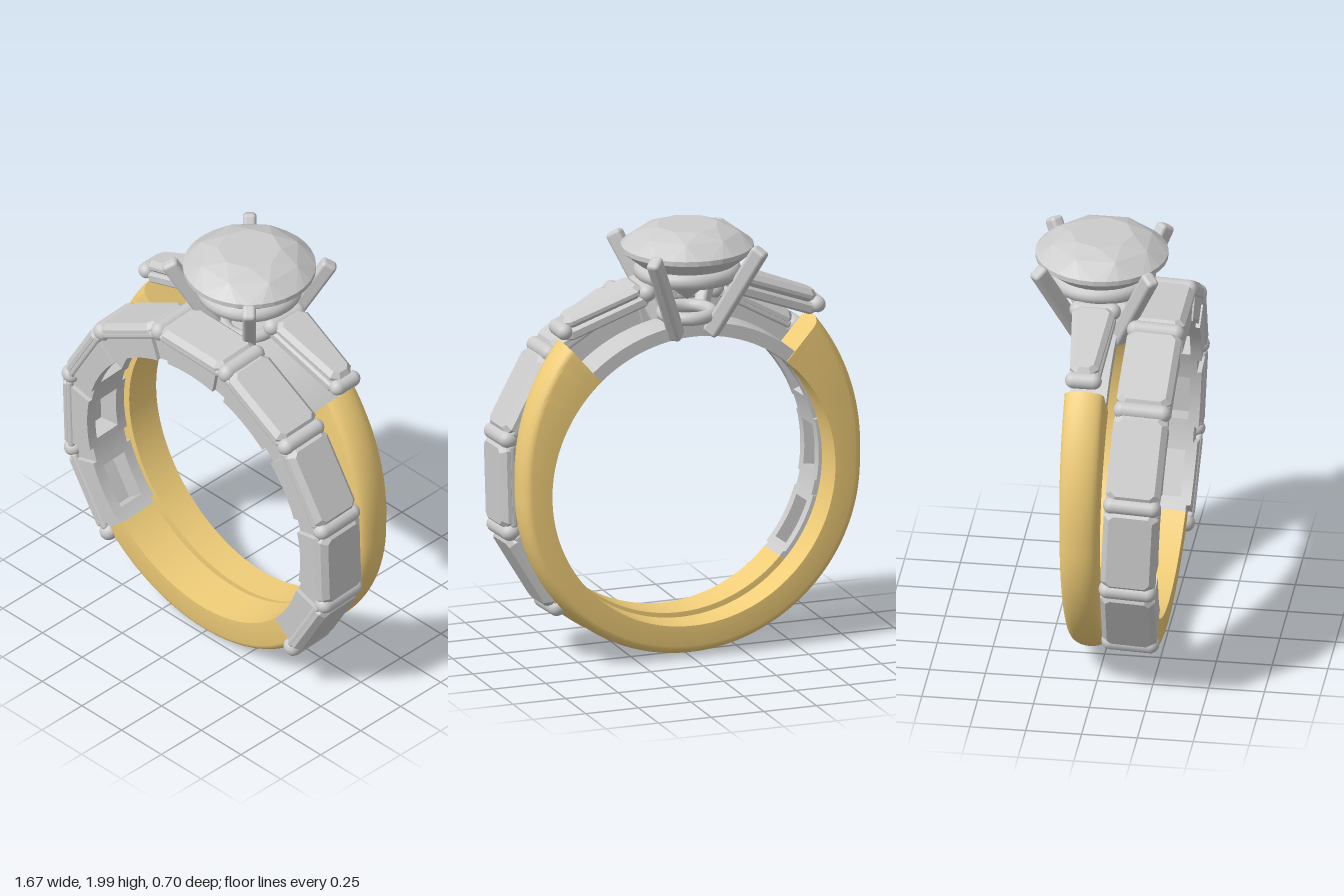
import * as THREE from 'three';
import { toCreasedNormals } from 'three/addons/utils/BufferGeometryUtils.js';
import { RoundedBoxGeometry } from 'three/addons/geometries/RoundedBoxGeometry.js';
import { ConvexGeometry } from 'three/addons/geometries/ConvexGeometry.js';

const rad = THREE.MathUtils.degToRad;
const silver = new THREE.MeshStandardMaterial({ color: 0xcccccc });
const facet = new THREE.MeshStandardMaterial({ color: 0xcccccc, flatShading: true });
const gold = new THREE.MeshStandardMaterial({ color: 0xf0cd78 });

function add(parent, name, geometry, material = silver) {
  const mesh = new THREE.Mesh(geometry, material);
  mesh.name = name;
  parent.add(mesh);
  return mesh;
}

function group(parent, name) {
  const g = new THREE.Group();
  g.name = name;
  parent.add(g);
  return g;
}

// Sweeps a closed [radius, z] section around z; angles in degrees, clockwise from the top
function sweep(a0, a1, steps, section) {
  const pos = [], index = [];
  let n = 0;
  for (let i = 0; i <= steps; i++) {
    const deg = a0 + (a1 - a0) * i / steps, a = rad(deg);
    const pts = section(deg);
    n = pts.length;
    for (const [r, z] of pts) pos.push(r * Math.sin(a), r * Math.cos(a), z);
  }
  for (let i = 0; i < steps; i++) {
    for (let j = 0; j < n; j++) {
      const k = (j + 1) % n, p = i * n, q = p + n;
      index.push(p + j, q + j, p + k, q + j, q + k, p + k);
    }
  }
  const e = steps * n;
  for (let j = 1; j < n - 1; j++) index.push(0, j, j + 1, e, e + j + 1, e + j);
  const g = new THREE.BufferGeometry();
  g.setAttribute('position', new THREE.Float32BufferAttribute(pos, 3));
  g.setIndex(index);
  return toCreasedNormals(g, 0.55);
}

const block = (r0, r1, z0, z1) => () => [[r0, z1], [r1, z1], [r1, z0], [r0, z0]];

// Flat inside, domed outside
function dome(r0, r1, half, rise) {
  const pts = [[r0, half]];
  for (let i = 0; i <= 12; i++) {
    const t = Math.PI * i / 12;
    pts.push([r1 - rise + rise * Math.sin(t), half * Math.cos(t)]);
  }
  pts.push([r0, -half]);
  return pts;
}

// Step-cut stone lying along x, cut corners and bevelled edges, widths w0 (at -x) and w1 (at +x)
function cutStone(length, w0, w1, depth, bevel) {
  const h = length / 2 - bevel, a = w0 / 2 - bevel, b = w1 / 2 - bevel, c = 0.02;
  const shape = new THREE.Shape([
    [-h + c, -a], [h - c, -b], [h, -b + c], [h, b - c],
    [h - c, b], [-h + c, a], [-h, a - c], [-h, -a + c],
  ].map(([x, y]) => new THREE.Vector2(x, y)));
  const g = new THREE.ExtrudeGeometry(shape, {
    depth: depth - 2 * bevel, bevelEnabled: true, bevelSize: bevel, bevelThickness: bevel, bevelSegments: 1,
  });
  g.translate(0, 0, bevel);
  return g.rotateX(-Math.PI / 2);
}

// Round-ended bar along z
const bar = (r, length) => new THREE.CapsuleGeometry(r, length - 2 * r, 6, 16).rotateX(Math.PI / 2);

// Round brilliant: table, crown points, girdle and culet
function brilliant(r) {
  const pts = [new THREE.Vector3(0, 1.65, 0)];
  const ring = (n, radius, y, turn) => {
    for (let i = 0; i < n; i++) {
      const a = (i + turn) * 2 * Math.PI / n;
      pts.push(new THREE.Vector3(radius * Math.cos(a), y, radius * Math.sin(a)));
    }
  };
  ring(8, r * 0.48, 2.0, 0);
  ring(8, r * 0.78, 1.968, 0.5);
  ring(32, r, 1.91, 0);
  ring(32, r, 1.888, 0);
  return new ConvexGeometry(pts);
}

function buildStoneBand(parent) {
  const band = group(parent, 'stoneBand');
  band.position.set(0, 0.835, 0.187);
  band.rotation.set(0.045, 0, -0.012);

  add(band, 'lowerBand', sweep(134, 226, 48, () => dome(0.67, 0.828, 0.097, 0.045)), gold);

  // Nine stones, each over an open gallery of two rails
  for (let deg = -120; deg <= 120; deg += 30) {
    const cell = group(band, 'stoneSetting');
    cell.rotation.z = -rad(deg);
    add(cell, 'stone', cutStone(0.4, 0.245, 0.245, 0.068, 0.025), facet).position.y = 0.767;
    for (const s of [-1, 1]) {
      add(cell, 'galleryRail', sweep(-12, 12, 8, block(0.67, 0.785, s * 0.09 - 0.025, s * 0.09 + 0.025)));
      const side = add(cell, 'stoneRail', new RoundedBoxGeometry(0.38, 0.035, 0.03, 2, 0.014));
      side.position.set(0, 0.782, s * 0.107);
    }
  }

  // Cross pieces and prong bars between stones
  for (let deg = -135; deg <= 135; deg += 30) {
    const a0 = deg === -135 ? deg : deg - 6, a1 = deg === 135 ? deg : deg + 6;
    add(band, 'crossPiece', sweep(a0, a1, 4, block(0.67, 0.79, -0.095, 0.095)));
    const joint = group(band, 'joint');
    joint.rotation.z = -rad(deg);
    const prong = add(joint, 'prongBar', bar(0.04, 0.26));
    prong.position.y = 0.818;
    prong.scale.y = 1.1;
  }
}

function buildSolitaire(parent) {
  const ring = group(parent, 'solitaireRing');
  ring.position.set(0, 0, -0.047);

  // Shank, rising towards its shoulders
  const shank = sweep(41, 319, 140, (deg) => {
    const fromBottom = Math.abs(deg - 180);
    const s = Math.max(0, (fromBottom - 90) / 50);
    const half = 0.073 + 0.015 * Math.min(1, fromBottom / 120);
    return dome(0.672, 0.81 + 0.105 * Math.pow(s, 1.4), half, 0.045);
  });
  add(ring, 'shank', shank, gold).position.y = 0.83;
  add(ring, 'bridge', sweep(-45, 45, 36, block(0.67, 0.73, -0.083, 0.083))).position.y = 0.83;

  // Tapered side stones with bars at both ends
  for (const s of [-1, 1]) {
    const shoulder = group(ring, 'shoulder');
    shoulder.position.set(s * 0.41, 1.65, 0);
    shoulder.rotation.y = s < 0 ? Math.PI : 0;
    const slope = group(shoulder, 'shoulderSetting');
    slope.rotation.z = -0.37;
    add(slope, 'sideStone', cutStone(0.39, 0.19, 0.13, 0.06, 0.022), facet).position.y = -0.005;
    add(slope, 'sideStoneSeat', cutStone(0.41, 0.19, 0.135, 0.05, 0.01)).position.y = -0.052;
    add(slope, 'outerBar', bar(0.037, 0.165)).position.x = 0.205;
    add(slope, 'innerBar', bar(0.04, 0.23)).position.x = -0.205;
  }

  // Centre stone in its basket
  add(ring, 'centreStone', brilliant(0.296), facet);
  const seat = add(ring, 'seatRing', new THREE.TorusGeometry(0.2, 0.04, 12, 48).rotateX(Math.PI / 2));
  seat.position.y = 1.79;
  const collet = add(ring, 'lowerRing', new THREE.TorusGeometry(0.11, 0.03, 10, 36).rotateX(Math.PI / 2));
  collet.position.y = 1.59;

  const base = new THREE.Vector2(0.115, 1.515), tip = new THREE.Vector2(0.355, 1.915);
  for (let i = 0; i < 4; i++) {
    const corner = group(ring, 'prong');
    corner.rotation.y = Math.PI / 4 + i * Math.PI / 2;
    const claw = add(corner, 'claw', new RoundedBoxGeometry(0.075, base.distanceTo(tip) + 0.02, 0.06, 3, 0.018));
    claw.position.set((base.x + tip.x) / 2, (base.y + tip.y) / 2, 0);
    claw.rotation.z = -Math.atan2(tip.x - base.x, tip.y - base.y);
  }
}

export function createModel() {
  const model = new THREE.Group();
  model.name = 'ringSet';
  buildStoneBand(model);
  buildSolitaire(model);
  return model;
}
